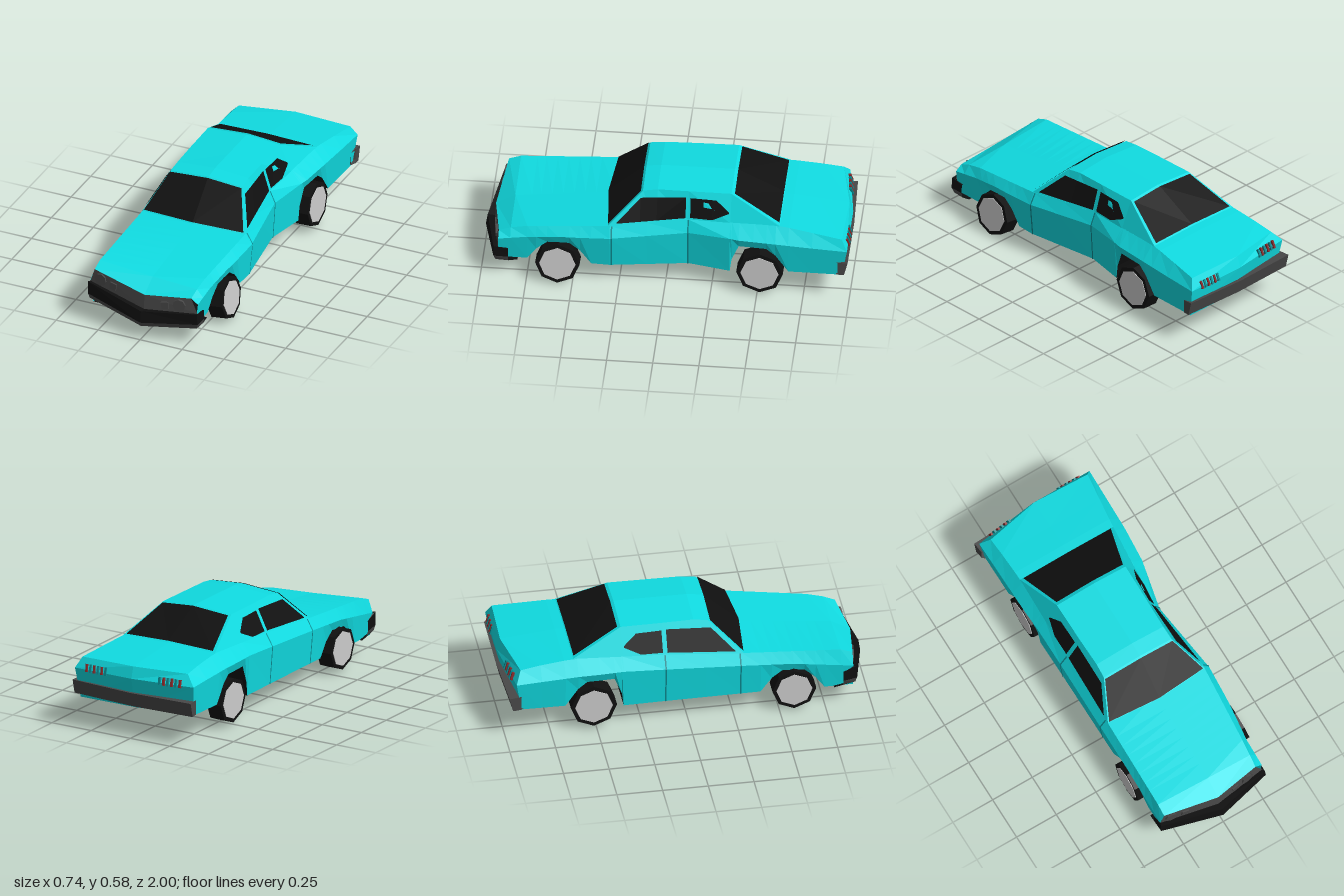
import * as THREE from 'three';

const mat = (color) => new THREE.MeshStandardMaterial({ color, flatShading: true, side: THREE.DoubleSide });
const paint = mat(0x10dce2), black = mat(0x101010), grey = mat(0x484848);
const hubGrey = mat(0xc0c0c0), red = mat(0x8a2c2c), seamTeal = mat(0x0a8a90);

// piecewise-linear curve through [z, value] pairs, listed from front to back
const curve = (...p) => (z) => {
  if (z >= p[0][0]) return p[0][1];
  for (let i = 1; i < p.length; i++) {
    if (z >= p[i][0]) {
      const [z0, a] = p[i - 1], [z1, b] = p[i];
      return a + (b - a) * (z0 - z) / (z0 - z1);
    }
  }
  return p[p.length - 1][1];
};

// faceted sheet through rows of points
function sheet(rows) {
  const pos = [];
  for (let i = 0; i + 1 < rows.length; i++) {
    for (let j = 0; j + 1 < rows[i].length; j++) {
      const a = rows[i][j], b = rows[i][j + 1], c = rows[i + 1][j + 1], d = rows[i + 1][j];
      pos.push(...a, ...d, ...c, ...a, ...c, ...b);
    }
  }
  const g = new THREE.BufferGeometry();
  g.setAttribute('position', new THREE.Float32BufferAttribute(pos, 3));
  g.computeVertexNormals();
  return g;
}

// body curves; index 0 is the model's right (-x), 1 its left (+x, with the pushed-in door)
const bottomY = curve([0.905, 0.11], [0.75, 0.11], [0.70, 0.18], [0.64, 0.235], [0.52, 0.245], [0.46, 0.2],
  [0.40, 0.12], [-0.35, 0.12], [-0.36, 0.2], [-0.40, 0.3], [-0.55, 0.3], [-0.6, 0.26], [-0.67, 0.16], [-0.96, 0.165]);
const midY = curve([0.905, 0.24], [0.58, 0.29], [0.3, 0.31], [-0.35, 0.35], [-0.6, 0.35], [-0.96, 0.335]);
const centreY = curve([0.905, 0.25], [0.84, 0.31], [0.3, 0.375], [-0.62, 0.435], [-0.96, 0.4]);
const midX = [
  curve([0.905, -0.34], [0.3, -0.345], [-0.3, -0.35], [-0.5, -0.36], [-0.96, -0.365]),
  curve([0.905, 0.3], [0.75, 0.3], [0.5, 0.325], [0.3, 0.335], [-0.12, 0.275], [-0.4, 0.335], [-0.6, 0.35], [-0.96, 0.36]),
];
const topX = [
  curve([0.905, -0.315], [0.3, -0.31], [-0.3, -0.305], [-0.62, -0.3], [-0.96, -0.31]),
  curve([0.905, 0.26], [0.3, 0.3], [-0.12, 0.245], [-0.4, 0.27], [-0.62, 0.285], [-0.96, 0.33]),
];
const topY = [
  curve([0.905, 0.312], [0.85, 0.335], [0.3, 0.37], [-0.12, 0.405], [-0.62, 0.43], [-0.96, 0.395]),
  curve([0.905, 0.268], [0.8, 0.31], [0.3, 0.37], [-0.12, 0.405], [-0.62, 0.43], [-0.96, 0.395]),
];

// side points of one body station: sill, waist crease, top edge
function sidePoints(s, z, out = 0) {
  const dx = s ? out : -out;
  const end = z < -0.95 ? 1 : 0, push = s ? 0 : 0.05 * end;
  return [
    [midX[s](z) * 0.95 + dx, bottomY(z), z + push],
    [midX[s](z) + dx, midY(z), z + push - 0.03 * end],
    [topX[s](z) + dx, topY[s](z), z + push],
  ];
}
function bodyRing(z) {
  const c = [0, centreY(z), z + (z > 0.9 ? 0.04 : z < -0.95 ? -0.01 : 0)];
  return [...sidePoints(0, z), c, ...sidePoints(1, z).reverse()];
}

// cabin curves: roof rail height and inward lean of the sides
const roofY = curve([0.31, 0.37], [0.13, 0.548], [0.05, 0.56], [-0.35, 0.562], [-0.62, 0.43]);
const lean = [() => 0.5, curve([0.3, 0.6], [-0.12, 0.3], [-0.35, 0.45], [-0.62, 0.6])];
const cabinSide = (s, z, y, out = 0) =>
  [topX[s](z) - (s ? 1 : -1) * (lean[s](z) * (y - topY[s](z)) - out), y, z];
function cabinRing(z) {
  const y = roofY(z);
  return [cabinSide(0, z, topY[0](z) - 0.005), cabinSide(0, z, y),
    [0, y + (z > 0.2 || z < -0.5 ? 0.007 : 0.016), z + (z > 0.2 ? 0.025 : 0)],
    cabinSide(1, z, y), cabinSide(1, z, topY[1](z) - 0.005)];
}

// sloping window laid on the cabin between two stations, inset from its edges
function screen(zLow, zHigh, a, b, inset) {
  const row = (t) => {
    const lo = cabinRing(zLow).slice(1, 4), hi = cabinRing(zHigh).slice(1, 4);
    return lo.map((p, i) => p.map((v, k) => {
      const w = v + (hi[i][k] - v) * t;
      return k === 0 ? w * inset : k === 1 ? w + 0.005 : w + 0.004 * Math.sign(zLow);
    }));
  };
  return sheet([row(a), row(b)]);
}

export function createModel() {
  const car = new THREE.Group();
  car.name = 'car';
  const add = (name, geo, material, parent = car) => {
    const m = new THREE.Mesh(geo, material);
    m.name = name;
    parent.add(m);
    return m;
  };

  // painted shell and black underside, both following the wheel arches
  const zs = [0.905, 0.84, 0.75, 0.7, 0.64, 0.58, 0.52, 0.46, 0.4, 0.3, 0.1, -0.12, -0.35, -0.36, -0.4,
    -0.48, -0.55, -0.6, -0.67, -0.8, -0.96];
  const rings = zs.map(bodyRing);
  add('bodyShell', sheet(rings), paint);
  add('underside', sheet(rings.map((r) => [r[6], r[0]])), black);

  // tail panel
  const tail = rings[rings.length - 1];
  add('tailPanel', sheet([[tail[2], tail[3], tail[4]], [tail[1], [0, 0.335, -0.99], tail[5]],
    [tail[0], [0, 0.165, -0.955], tail[6]]]), paint);

  // cabin and glass
  add('cabin', sheet([0.31, 0.13, 0.05, -0.12, -0.35, -0.62].map(cabinRing)), paint);
  add('windshield', screen(0.31, 0.13, 0.02, 0.96, 0.98), black);
  add('rearWindow', screen(-0.62, -0.35, 0.03, 0.95, 0.95), black);
  const frontLow = (z) => topY[0](z) + 0.012;
  const frontHigh = curve([0.265, 0.388], [0.14, 0.515], [-0.105, 0.53]);
  const quarterLow = curve([-0.13, 0.418], [-0.25, 0.42], [-0.34, 0.462]);
  const quarterHigh = curve([-0.13, 0.527], [-0.27, 0.525], [-0.34, 0.47]);
  ['right', 'left'].forEach((side, s) => {
    const pane = (list, lo, hi) => sheet(list.map((z) => [cabinSide(s, z, lo(z), 0.006), cabinSide(s, z, hi(z), 0.006)]));
    add(side + 'DoorWindow', pane([0.265, 0.14, 0.05, -0.105], frontLow, frontHigh), black);
    add(side + 'QuarterWindow', pane([-0.13, -0.25, -0.27, -0.34], quarterLow, quarterHigh), black);
    for (const z of [0.29, -0.12]) {
      add(side + 'DoorSeam', sheet([sidePoints(s, z + 0.004, 0.003), sidePoints(s, z - 0.004, 0.003)]), seamTeal);
    }
  });

  // nose: grille, wrapped bumper and lower lip
  const nose = rings[0];
  const grilleFoot = [[-0.34, 0.235, 0.905], [0, 0.165, 0.95], [0.3, 0.185, 0.91]];
  add('grille', sheet([[nose[2], nose[3], nose[4]], grilleFoot]), grey);
  const bumperBack = [[-0.34, 0.2, 0.85], ...grilleFoot, [0.3, 0.18, 0.85]];
  const bumperTop = [[-0.346, 0.21, 0.85], [-0.346, 0.24, 0.925], [0, 0.17, 0.99], [0.305, 0.19, 0.93], [0.31, 0.18, 0.85]];
  const bumperFoot = [[-0.346, 0.15, 0.85], [-0.346, 0.165, 0.925], [0, 0.105, 1], [0.31, 0.13, 0.93], [0.312, 0.13, 0.85]];
  const lipFoot = [[-0.335, 0.12, 0.85], [-0.34, 0.135, 0.915], [0, 0.08, 0.99], [0.3, 0.1, 0.92], [0.305, 0.1, 0.85]];
  const lipBack = lipFoot.map(([x]) => [x, 0.11, 0.8]);
  add('frontBumper', sheet([bumperBack, bumperTop, bumperFoot]), black);
  add('frontLip', sheet([bumperFoot, lipFoot]), grey);
  add('noseFloor', sheet([lipFoot, lipBack]), black);

  // round headlamps and square inner lamps in the grille
  const lampGeo = new THREE.CylinderGeometry(0.036, 0.036, 0.014, 8).rotateX(Math.PI / 2);
  const innerGeo = new THREE.BoxGeometry(0.04, 0.04, 0.014);
  for (const [x, y, geo, name] of [[-0.275, 0.262, lampGeo, 'headlamp'], [-0.195, 0.245, innerGeo, 'innerLamp'],
    [0.197, 0.22, lampGeo, 'headlamp'], [0.117, 0.208, innerGeo, 'innerLamp']]) {
    const lamp = add(name, geo, grey);
    lamp.position.set(x, y, 0.948 - Math.abs(x) * 0.13);
    lamp.rotation.set(0, Math.sign(x) * 0.13, x < 0 ? -0.15 : 0.12);
  }

  // rear bumper
  const bar = (y, dz) => [[-0.365, y, -0.915], [-0.372, y, -0.95 - dz], [0, y, -0.965 - dz],
    [0.372, y + 0.012, -0.965 - dz], [0.372, y + 0.012, -0.94]];
  const inner = (y) => [[-0.35, y, -0.9], [-0.35, y, -0.9], [0, y, -0.94], [0.35, y, -0.93], [0.35, y, -0.93]];
  add('rearBumper', sheet([inner(0.25), bar(0.255, 0.03), bar(0.175, 0.01), inner(0.175), inner(0.25)]), grey);

  // ribbed tail lamps
  const ribGeo = new THREE.BoxGeometry(0.012, 0.045, 0.014);
  for (const s of [-1, 1]) {
    for (let i = 0; i < 6; i++) {
      const x = s * (0.165 + i * 0.024);
      const rib = add('tailLampRib', ribGeo, i % 2 ? red : seamTeal);
      rib.position.set(x, 0.345, s < 0 ? -0.985 - x * 0.12 : -0.987);
      rib.rotation.set(0.3, 0, -0.1);
    }
  }

  // eight-sided wheels; the front left one leans out at the foot
  for (const [name, x, y, z, r, tilt] of [['frontRightWheel', -0.31, 0.13, 0.58, 0.12, 0], ['frontLeftWheel', 0.302, 0.124, 0.58, 0.12, 0.12],
    ['rearRightWheel', -0.305, 0.142, -0.515, 0.126, 0], ['rearLeftWheel', 0.3, 0.142, -0.515, 0.126, 0.03]]) {
    const wheel = new THREE.Group();
    wheel.name = name;
    wheel.position.set(x, y, z);
    wheel.rotation.z = tilt;
    add('tyre', new THREE.CylinderGeometry(r, r, 0.09, 8).rotateZ(Math.PI / 2), black, wheel);
    const hub = add('hub', new THREE.CylinderGeometry(r * 0.82, r * 0.82, 0.01, 8).rotateZ(Math.PI / 2), hubGrey, wheel);
    hub.position.x = Math.sign(x) * 0.043;
    car.add(wheel);
  }
  return car;
}
